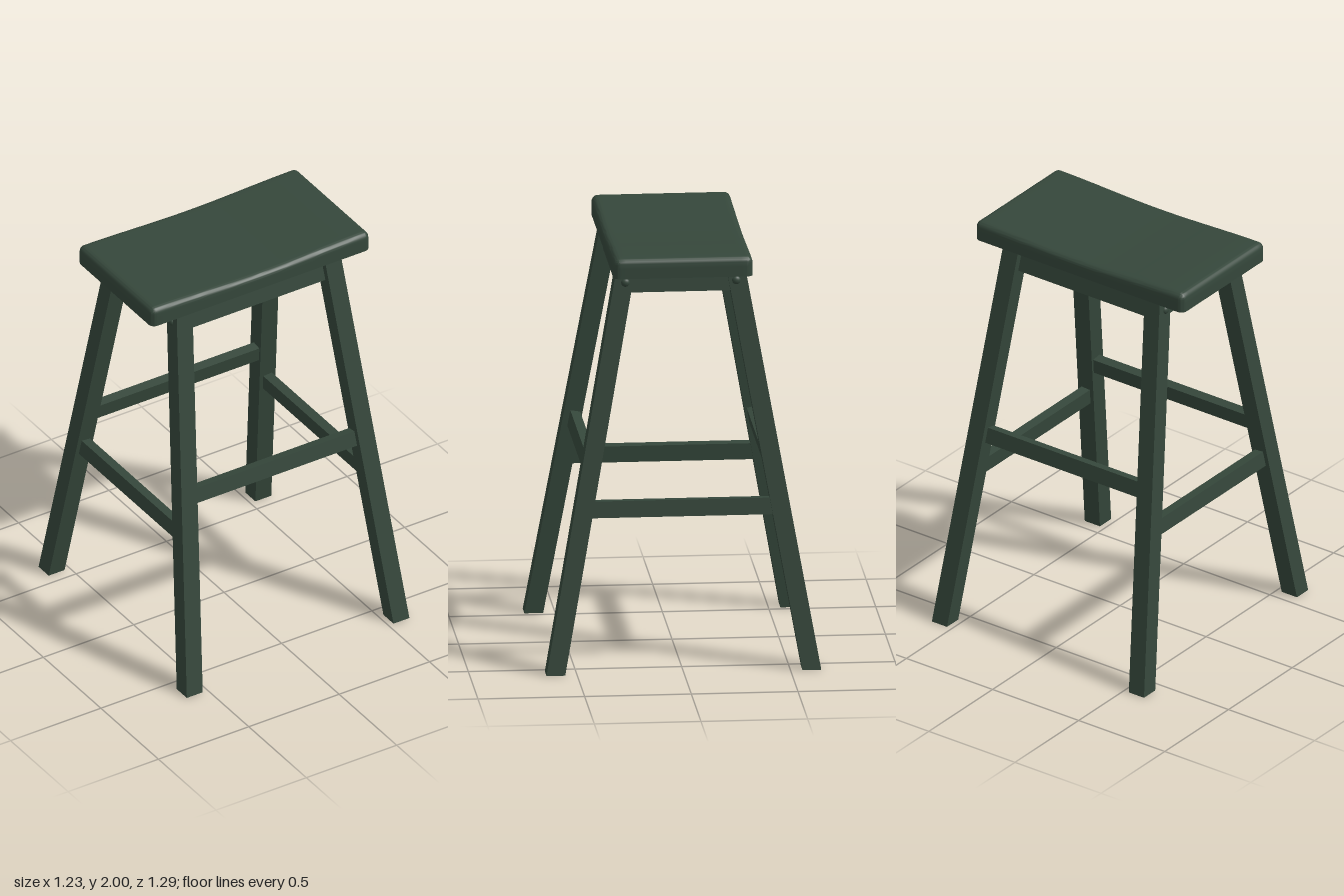
import * as THREE from 'three';
import { toCreasedNormals } from 'three/addons/utils/BufferGeometryUtils.js';

const SEAT_BOTTOM = 1.905;
const FOOT = { x: 0.572, z: 0.6 };
const HEAD = { x: 0.411, z: 0.259 };
const slopeX = (FOOT.x - HEAD.x) / SEAT_BOTTOM;
const slopeZ = (FOOT.z - HEAD.z) / SEAT_BOTTOM;

// Apply a rule to every vertex of a geometry
function reshape(geometry, rule) {
  const pos = geometry.attributes.position;
  const v = new THREE.Vector3();
  for (let i = 0; i < pos.count; i++) {
    rule(v.fromBufferAttribute(pos, i));
    pos.setXYZ(i, v.x, v.y, v.z);
  }
  geometry.computeVertexNormals();
  return geometry;
}

// Saddle seat: crisp underside, rounded upper rim, gentle dip across the width
function seatGeometry() {
  const hx = 0.605, hz = 0.325, r = 0.03, height = 2 - SEAT_BOTTOM, dip = 0.016;
  const spread = (u, half) => {
    const a = Math.abs(u);
    const d = a < 0.75 ? (a / 0.75) * (half - r) : half - r + Math.tan((a - 0.75) * Math.PI) * r;
    return Math.sign(u) * d;
  };
  const geometry = reshape(new THREE.BoxGeometry(2, 2, 2, 32, 8, 32), (v) => {
    const p = new THREE.Vector3(spread(v.x, hx), 0, spread(v.z, hz));
    p.y = v.y <= 0 ? (v.y + 1) * (height - r) : height - r + Math.tan(v.y * Math.PI / 4) * r;
    const core = new THREE.Vector3(
      THREE.MathUtils.clamp(p.x, r - hx, hx - r),
      Math.min(p.y, height - r),
      THREE.MathUtils.clamp(p.z, r - hz, hz - r));
    const d = p.sub(core);
    const reach = Math.max(Math.abs(d.x), Math.abs(d.y), Math.abs(d.z));
    if (reach > 1e-6) d.setLength(reach);
    v.copy(core).add(d);
    v.y -= dip * Math.cos(v.x / hx * Math.PI / 2) ** 2 * (v.y / height);
    v.y += SEAT_BOTTOM;
  });
  return toCreasedNormals(geometry, 0.7);
}

export function createModel() {
  const paint = new THREE.MeshStandardMaterial({ color: 0x35473b });
  paint.name = 'dark green paint';

  const stool = new THREE.Group();
  stool.name = 'stool';
  const add = (name, geometry) => {
    const mesh = new THREE.Mesh(geometry, paint);
    mesh.name = name;
    stool.add(mesh);
    return mesh;
  };

  add('seat', seatGeometry());

  // Block under the seat, tapering with the legs
  add('apron', reshape(new THREE.BoxGeometry(0.86, 0.11, 0.56), (v) => {
    v.x -= Math.sign(v.x) * v.y * slopeX;
    v.z -= Math.sign(v.z) * v.y * slopeZ;
    v.y += SEAT_BOTTOM - 0.055;
  }));

  // Splayed legs with level ends, each with a bolt head on its outer side
  for (const sx of [-1, 1]) {
    for (const sz of [-1, 1]) {
      const label = (sz > 0 ? 'front' : 'back') + (sx > 0 ? 'Left' : 'Right');
      add(label + 'Leg', reshape(new THREE.BoxGeometry(0.088, SEAT_BOTTOM, 0.088), (v) => {
        v.y += SEAT_BOTTOM / 2;
        v.x += sx * (FOOT.x - slopeX * v.y);
        v.z += sz * (FOOT.z - slopeZ * v.y);
      }));
      const bolt = add(label + 'Bolt', new THREE.SphereGeometry(0.021, 16, 12));
      bolt.scale.x = 0.75;
      bolt.position.set(sx * 0.456, 1.85, sz * 0.26);
    }
  }

  // Stretchers, tilted to follow the splay of the legs
  for (const s of [-1, 1]) {
    const long = add(s > 0 ? 'frontStretcher' : 'backStretcher', new THREE.BoxGeometry(0.94, 0.077, 0.047));
    long.position.set(0, 0.957, s * 0.42);
    long.rotation.x = -s * Math.atan(slopeZ);

    const short = add(s > 0 ? 'leftStretcher' : 'rightStretcher', new THREE.BoxGeometry(0.047, 0.079, 0.88));
    short.position.set(s * 0.506, 0.772, 0);
    short.rotation.z = s * Math.atan(slopeX);
  }

  return stool;
}
